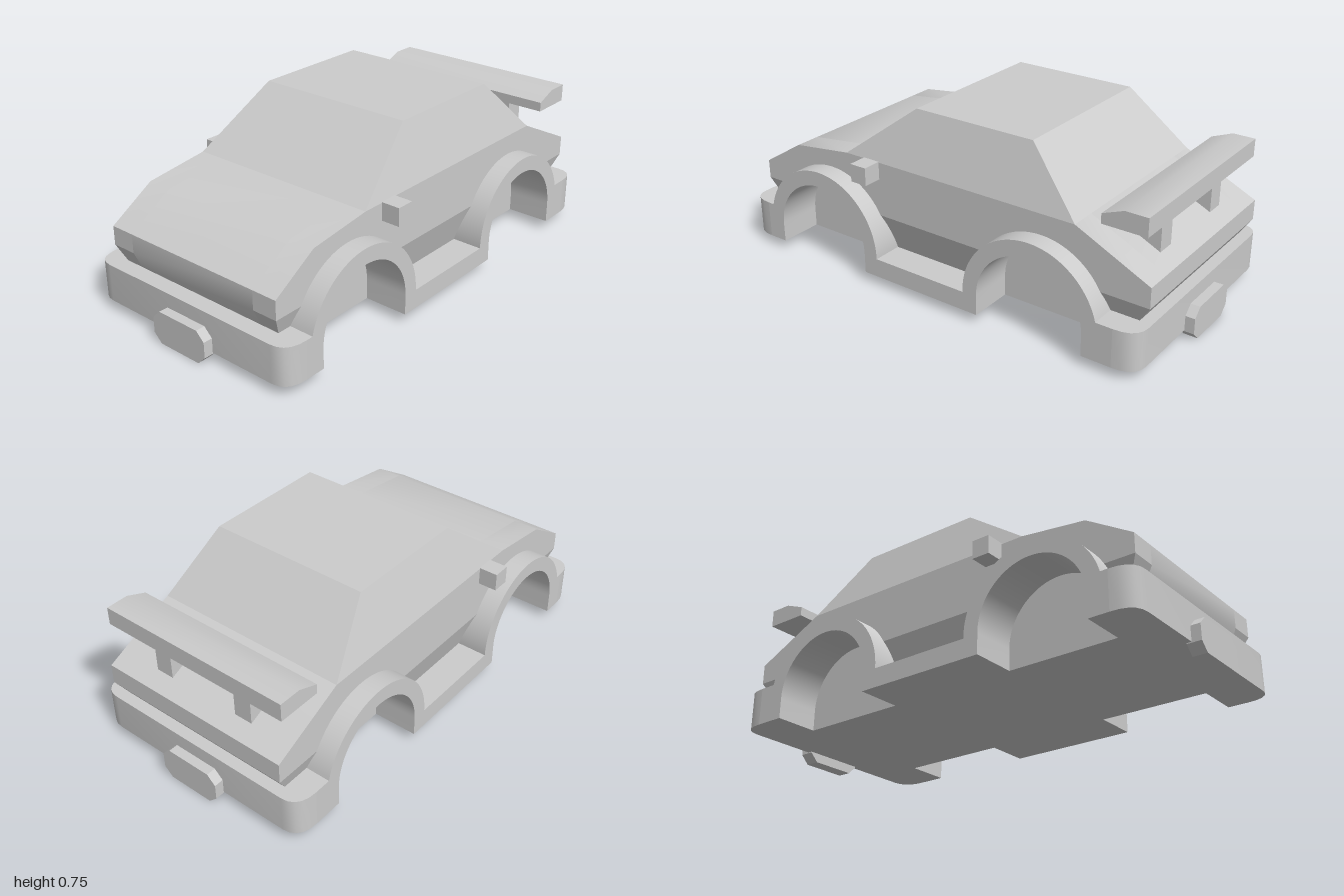
import * as THREE from 'three';
import { toCreasedNormals } from 'three/addons/utils/BufferGeometryUtils.js';

const paint = new THREE.MeshStandardMaterial({ color: 0xcccccc });
paint.name = 'light grey';

const WHEELS = [0.54, -0.5]; // wheel arch centres along z
const AXLE = 0.125;
const WELL = 0.32; // inner x of the wheel wells

function polygon(points) {
  return new THREE.Shape(points.map(([a, b]) => new THREE.Vector2(a, b)));
}

// Extrude a (z, y) side profile across x0..x1
function across(shape, x0, x1) {
  const g = new THREE.ExtrudeGeometry(shape, { depth: x1 - x0, bevelEnabled: false, curveSegments: 28 });
  return g.rotateY(-Math.PI / 2).translate(x1, 0, 0);
}

// Lean the outer skin inwards below the waist line
function tuckUnder(g) {
  const p = g.attributes.position;
  for (let i = 0; i < p.count; i++) {
    const x = p.getX(i), y = p.getY(i);
    if (Math.abs(x) > 0.4 && y < 0.275) p.setX(i, Math.sign(x) * (0.43 - (0.275 - y) / 3));
  }
  return g;
}

// Bumper, arch, sill, arch, bumper with the wheel openings cut out
function railShape() {
  const [f, r] = WHEELS, a = Math.asin(0.25);
  const s = new THREE.Shape();
  s.moveTo(0.86, 0.04);
  s.lineTo(0.86, 0.2);
  s.absarc(f, AXLE, 0.3, a, Math.PI, false);
  s.lineTo(f - 0.3, 0.12);
  s.lineTo(r + 0.3, 0.12);
  s.absarc(r, AXLE, 0.3, 0, Math.PI - a, false);
  s.lineTo(-0.86, 0.2);
  s.lineTo(-0.86, 0.04);
  for (const z of [r, f]) {
    s.lineTo(z - 0.235, 0.04);
    s.absarc(z, AXLE, 0.235, Math.PI, 0, true);
    s.lineTo(z + 0.235, 0.04);
  }
  return s;
}

// Body side above the waist, open over the wheels
function upperSideShape() {
  const s = polygon([[-0.96, 0.275], [-0.96, 0.36], [-0.645, 0.51], [0.45, 0.51], [0.73, 0.475], [0.925, 0.355], [0.925, 0.275]]);
  s.autoClose = false;
  const a = Math.asin(0.15 / 0.268);
  for (const z of WHEELS) s.absarc(z, AXLE, 0.268, a, Math.PI - a, false);
  return s;
}

// Body side pieces below the waist
const LOWER_SIDES = [
  [[0.89, 0.2], [0.925, 0.275], [0.76, 0.275], [0.79, 0.2]],
  [[0.27, 0.12], [0.29, 0.2], [0.32, 0.275], [-0.28, 0.275], [-0.25, 0.2], [-0.23, 0.12]],
  [[-0.75, 0.2], [-0.72, 0.275], [-0.96, 0.275], [-0.91, 0.2]],
];

export function createModel() {
  const model = new THREE.Group();
  model.name = 'car';

  const add = (name, geometry) => {
    const mesh = new THREE.Mesh(toCreasedNormals(geometry, 0.5), paint);
    mesh.name = name;
    model.add(mesh);
    return mesh;
  };
  const box = (name, x0, x1, y0, y1, z0, z1) =>
    add(name, new THREE.BoxGeometry(x1 - x0, y1 - y0, z1 - z0)
      .translate((x0 + x1) / 2, (y0 + y1) / 2, (z0 + z1) / 2));

  // Floor and central body between the wheel wells
  box('floor', -WELL, WELL, 0.04, 0.2, -0.86, 0.86);
  add('bodyCore', across(polygon([
    [0.89, 0.2], [0.925, 0.275], [0.925, 0.355], [0.73, 0.475], [0.45, 0.51],
    [-0.645, 0.51], [-0.96, 0.36], [-0.96, 0.275], [-0.91, 0.2],
  ]), -WELL, WELL));

  // Sides
  for (const [side, s] of [['left', 1], ['right', -1]]) {
    const span = (shape, outer) => (s > 0 ? across(shape, WELL, outer) : across(shape, -outer, -WELL));
    add(side + 'ArchesAndSill', span(railShape(), 0.51));
    add(side + 'UpperBodySide', span(upperSideShape(), 0.43));
    for (const pts of LOWER_SIDES) add(side + 'LowerBodySide', tuckUnder(span(polygon(pts), 0.43)));
    const m = [0.42 * s, 0.51 * s].sort((a, b) => a - b);
    box(side + 'Mirror', m[0], m[1], 0.437, 0.513, 0.278, 0.355);
    box(side + 'SpoilerPost', 0.2 * s - 0.04, 0.2 * s + 0.04, 0.37, 0.55, -0.89, -0.8);
  }

  // Cabin: a box narrowed towards the roof
  const cabin = new THREE.BoxGeometry(1, 1, 1).toNonIndexed();
  const p = cabin.attributes.position;
  for (let i = 0; i < p.count; i++) {
    const top = p.getY(i) > 0, front = p.getZ(i) > 0;
    p.setXYZ(i, Math.sign(p.getX(i)) * (top ? 0.352 : 0.43), top ? 0.748 : 0.51,
      front ? (top ? 0.135 : 0.45) : (top ? -0.41 : -0.645));
  }
  add('cabin', cabin);

  // Rear spoiler
  add('spoilerWing', across(polygon([
    [-0.75, 0.545], [-0.75, 0.585], [-0.84, 0.62], [-0.935, 0.62], [-0.935, 0.545],
  ]), -0.43, 0.43));

  // Rounded bumpers and plate blocks, front and rear
  const bumper = new THREE.Shape();
  bumper.moveTo(-0.51, 0.86);
  bumper.lineTo(0.51, 0.86);
  bumper.quadraticCurveTo(0.51, 0.96, 0.43, 0.96);
  bumper.lineTo(-0.43, 0.96);
  bumper.quadraticCurveTo(-0.51, 0.96, -0.51, 0.86);
  const plate = polygon([
    [-0.1, 0], [0.1, 0], [0.137, 0.036], [0.137, 0.102],
    [0.1, 0.138], [-0.1, 0.138], [-0.137, 0.102], [-0.137, 0.036],
  ]);
  for (const [end, turn] of [['front', 0], ['rear', Math.PI]]) {
    add(end + 'Bumper', new THREE.ExtrudeGeometry(bumper, { depth: 0.16, bevelEnabled: false, curveSegments: 5 })
      .rotateX(Math.PI / 2).translate(0, 0.2, 0).rotateY(turn));
    add(end + 'Plate', new THREE.ExtrudeGeometry(plate, { depth: 0.06, bevelEnabled: false })
      .translate(0, 0, 0.94).rotateY(turn));
  }
  return model;
}
